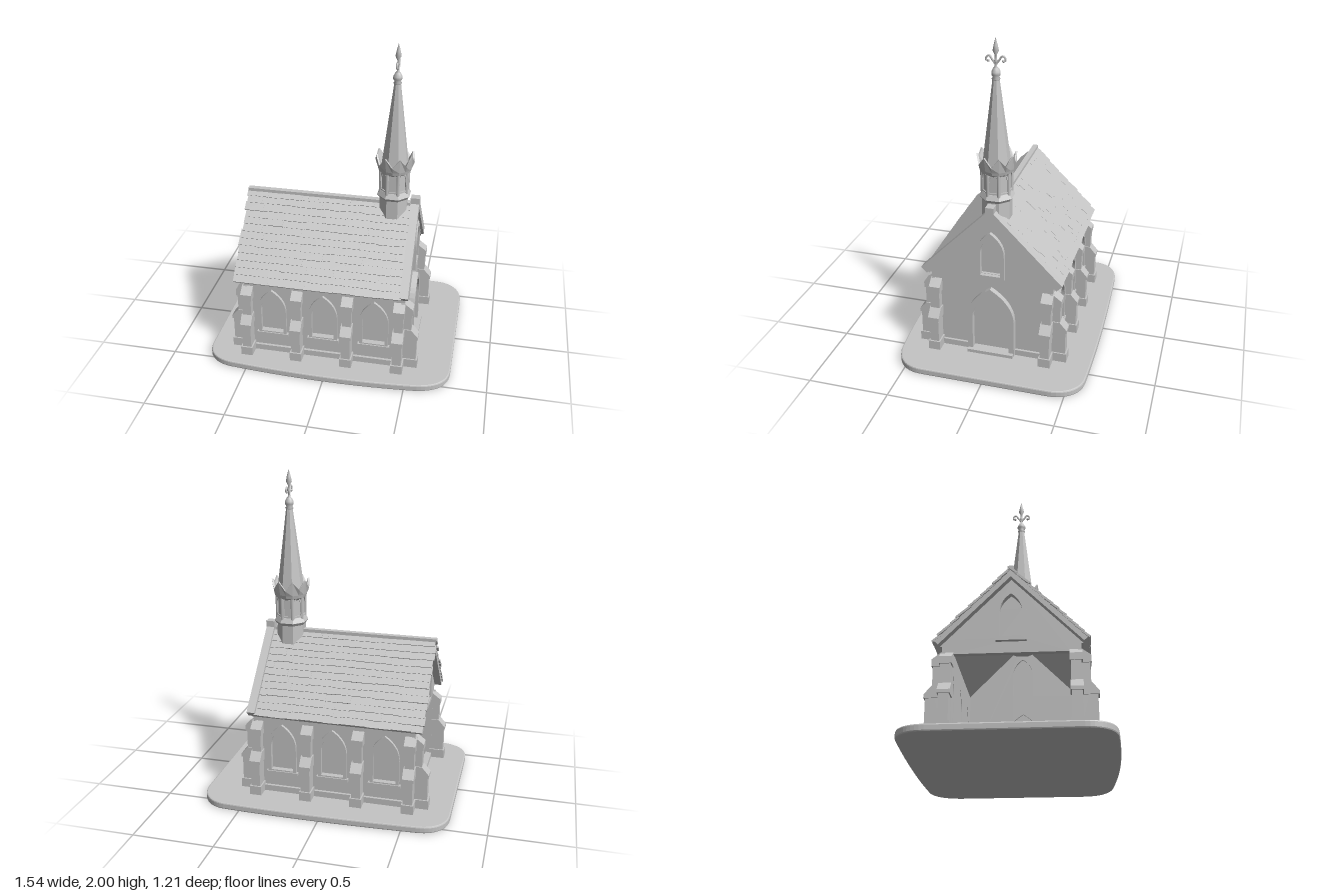
import * as THREE from 'three';

const stone = new THREE.MeshStandardMaterial({ color: 0xc4c4c4 });
stone.name = 'stone grey';

const X0 = -0.54, X1 = 0.47, HALF = 0.38; // wall limits

function seeded(seed) {
  return () => (seed = (seed * 16807) % 2147483647) / 2147483647;
}

function add(parent, name, geo, x = 0, y = 0, z = 0) {
  const m = new THREE.Mesh(geo, stone);
  m.name = name;
  m.position.set(x, y, z);
  parent.add(m);
  return m;
}

function flat(geo) {
  const g = geo.index ? geo.toNonIndexed() : geo;
  g.computeVertexNormals();
  return g;
}

const box = (w, h, d) => new THREE.BoxGeometry(w, h, d);
const extrude = (shape, depth) =>
  new THREE.ExtrudeGeometry(shape, { depth, bevelEnabled: false, curveSegments: 8 });
const polygon = pts => new THREE.Shape(pts.map(p => new THREE.Vector2(p[0], p[1])));

// Pointed arch outline: half width w, from y0 up to spring and apex
function arch(cx, w, y0, spring, apex) {
  const s = new THREE.Shape();
  const k = spring + 0.6 * (apex - spring);
  s.moveTo(cx - w, y0);
  s.lineTo(cx + w, y0);
  s.lineTo(cx + w, spring);
  s.quadraticCurveTo(cx + w * 0.95, k, cx, apex);
  s.quadraticCurveTo(cx - w * 0.95, k, cx - w, spring);
  s.closePath();
  return s;
}

// Raised arched moulding
function archFrame(w, y0, spring, apex, t, depth, open = false) {
  const s = arch(0, w, y0, spring, apex);
  s.holes.push(arch(0, w - t, open ? y0 + 0.012 : y0 + t, spring, apex - t * 1.3));
  return extrude(s, depth);
}

// Stepped buttress, facing +x before turning
function buttress(parent, x, z, turn) {
  const g = new THREE.Group();
  g.name = 'buttress';
  const upper = extrude(polygon([[-0.02, 0.04], [0.08, 0.04], [0.08, 0.25], [0.045, 0.31],
    [0.045, 0.47], [0, 0.5], [-0.02, 0.5]]), 0.056);
  add(g, 'buttressShaft', upper, 0, 0, -0.028);
  add(g, 'buttressFoot', box(0.1, 0.06, 0.074), 0.04, 0.07, 0);
  const cap = extrude(polygon([[-0.02, 0.43], [0.052, 0.43], [0.052, 0.47], [0, 0.51], [-0.02, 0.51]]), 0.07);
  add(g, 'buttressCap', cap, 0, 0, -0.035);
  const ledge = extrude(polygon([[0, 0.25], [0.088, 0.25], [0.088, 0.27], [0.045, 0.32], [0, 0.32]]), 0.07);
  add(g, 'buttressLedge', ledge, 0, 0, -0.035);
  g.position.set(x, 0, z);
  g.rotation.y = turn;
  parent.add(g);
}

function buildWalls(parent) {
  const windows = [-0.36, -0.035, 0.285];
  for (const s of [1, -1]) {
    // Long wall with three arched niches
    const wall = polygon([[X0, 0.04], [X1, 0.04], [X1, 0.585], [X0, 0.585]]);
    for (const x of windows) wall.holes.push(arch(x, 0.075, 0.19, 0.36, 0.475));
    add(parent, 'sideWall', extrude(wall, 0.035), 0, 0, s > 0 ? HALF - 0.035 : -HALF);
    add(parent, 'cornice', box(X1 - X0, 0.03, 0.03), (X0 + X1) / 2, 0.56, s * 0.385);
    add(parent, 'sidePlinth', box(X1 - X0, 0.04, 0.05), (X0 + X1) / 2, 0.06, s * 0.372);
    for (const x of windows) {
      const g = new THREE.Group();
      g.name = 'sideWindow';
      g.position.set(x, 0, s * HALF);
      g.rotation.y = s > 0 ? 0 : Math.PI;
      add(g, 'windowFrame', archFrame(0.09, 0.175, 0.36, 0.5, 0.02, 0.018));
      add(g, 'windowPane', extrude(arch(0, 0.08, 0.18, 0.36, 0.48), 0.008), 0, 0, -0.033);
      add(g, 'windowSill', box(0.2, 0.018, 0.03), 0, 0.178, 0.01);
      parent.add(g);
    }
    for (const x of [-0.515, -0.197, 0.12, 0.44]) buttress(parent, x, s * HALF, -s * Math.PI / 2);
    buttress(parent, X1, s * 0.35, 0);
    buttress(parent, X0, s * 0.35, Math.PI);
  }

  // Gable walls: a closed front with a door, a back open at the bottom
  for (const s of [1, -1]) {
    const g = new THREE.Group();
    g.name = s > 0 ? 'doorGable' : 'openGable';
    g.position.x = s > 0 ? X1 : X0;
    g.rotation.y = s * Math.PI / 2;
    const wall = polygon([[-HALF, 0.04], [HALF, 0.04], [HALF, 0.585], [0, 0.965], [-HALF, 0.585]]);
    wall.holes.push(arch(0, 0.065, 0.59, 0.74, 0.845));
    wall.holes.push(s > 0 ? arch(0, 0.12, 0.055, 0.29, 0.465)
      : polygon([[-0.32, 0.045], [0.32, 0.045], [0.32, 0.5], [-0.32, 0.5]]));
    add(g, 'gableWall', extrude(wall, 0.035), 0, 0, -0.035);
    add(g, 'gableWindowFrame', archFrame(0.085, 0.565, 0.74, 0.875, 0.023, 0.025));
    add(g, 'gableWindowPane', extrude(arch(0, 0.07, 0.58, 0.74, 0.85), 0.008), 0, 0, -0.025);
    if (s > 0) {
      add(g, 'doorFrame', archFrame(0.148, 0.042, 0.29, 0.5, 0.033, 0.035, true));
      add(g, 'door', extrude(arch(0, 0.125, 0.045, 0.29, 0.47), 0.008), 0, 0, -0.025);
      add(g, 'doorStep', box(0.29, 0.025, 0.062), 0, 0.05, 0.028);
      for (const d of [1, -1]) add(g, 'gablePlinth', box(0.22, 0.04, 0.03), d * 0.26, 0.06, 0);
    } else {
      add(g, 'threshold', box(0.7, 0.035, 0.04), 0, 0.055, -0.015);
    }
    parent.add(g);
  }
}

function buildRoof(parent) {
  const rand = seeded(77);
  const angle = Math.atan2(0.43, 0.425), len = 0.605, rows = 13, step = len / rows;
  for (const s of [1, -1]) {
    const slope = new THREE.Group();
    slope.name = 'roofSlope';
    slope.position.y = 1.0;
    slope.rotation.x = s * angle;
    add(slope, 'roofSlab', box(1.06, 0.03, len), -0.055, -0.026, s * len / 2);
    // Overlapping rows of uneven shingles
    for (let r = 0; r < rows; r++) {
      let x = -0.597 + rand() * 0.012;
      while (x < 0.44) {
        const w = Math.min(0.06 + rand() * 0.12, 0.45 - x);
        const m = add(slope, 'shingle', box(w + 0.002, 0.012, step + 0.012),
          x + w / 2, -0.008 + rand() * 0.004, s * ((r + 0.5) * step + rand() * 0.006));
        m.rotation.x = -s * 0.1;
        x += w;
      }
    }
    add(slope, 'gableCoping', box(0.05, 0.05, len), 0.467, -0.006, s * len / 2);
    parent.add(slope);
  }
  add(parent, 'ridgeCap', box(1.03, 0.02, 0.035), -0.08, 0.993, 0);
  add(parent, 'copingBlock', box(0.055, 0.06, 0.05), 0.467, 1.01, 0);
}

function buildSteeple(parent) {
  const g = new THREE.Group();
  g.name = 'steeple';
  g.position.x = 0.333;
  const drum = (name, rTop, rBottom, y0, y1, sides = 8) => {
    const m = add(g, name, flat(new THREE.CylinderGeometry(rTop, rBottom, y1 - y0, sides)), 0, (y0 + y1) / 2, 0);
    m.rotation.y = Math.PI / 8;
  };
  drum('steepleBase', 0.09, 0.092, 0.86, 1.05);
  drum('collarLower', 0.107, 0.092, 1.035, 1.055);
  drum('collarUpper', 0.09, 0.107, 1.055, 1.085);
  drum('belfry', 0.086, 0.086, 1.08, 1.24);
  drum('spire', 0.02, 0.086, 1.24, 1.765);

  // Corner ribs and arched panels of the belfry
  for (let i = 0; i < 8; i++) {
    const a = i * Math.PI / 4, c = a + Math.PI / 8;
    add(g, 'belfryRib', new THREE.CylinderGeometry(0.013, 0.011, 0.17, 6),
      Math.sin(c) * 0.086, 1.16, Math.cos(c) * 0.086);
    const arc = add(g, 'belfryArch', archFrame(0.03, 1.09, 1.17, 1.225, 0.009, 0.008),
      Math.sin(a) * 0.078, 0, Math.cos(a) * 0.078);
    arc.rotation.y = a;
  }

  // Crown whose rim rises to a point at each corner
  const rim = [[0.08, 1.2], [0.098, 1.215], [0.104, 1.235], [0.119, 1.285], [0.108, 1.285], [0.08, 1.245]];
  const crown = new THREE.LatheGeometry(rim.map(p => new THREE.Vector2(p[0], p[1])), 16);
  const pos = crown.attributes.position;
  for (let i = 0; i < pos.count; i++) {
    const k = Math.round(Math.atan2(pos.getX(i), pos.getZ(i)) / (Math.PI / 8));
    if (pos.getY(i) > 1.28) pos.setY(i, k % 2 ? 1.325 : 1.27);
  }
  add(g, 'crown', flat(crown));

  // Finial: knob, rod, spearhead and curled arms
  const knob = [[0.018, 1.755], [0.026, 1.765], [0.018, 1.775], [0.027, 1.79], [0.027, 1.805], [0.016, 1.825],
    [0.007, 1.835], [0.007, 1.86], [0.013, 1.866], [0.007, 1.874], [0.006, 1.9], [0.018, 1.925], [0.012, 1.955], [0.0005, 2.0]];
  add(g, 'finial', new THREE.LatheGeometry(knob.map(p => new THREE.Vector2(p[0], p[1])), 10));
  for (const s of [1, -1]) {
    const pts = [[0, 1.845], [0.02, 1.872], [0.038, 1.895], [0.054, 1.885], [0.054, 1.866], [0.043, 1.866]];
    const curve = new THREE.CatmullRomCurve3(pts.map(p => new THREE.Vector3(0, p[1], s * p[0])));
    add(g, 'finialArm', new THREE.TubeGeometry(curve, 16, 0.006, 6));
    add(g, 'finialArmTip', new THREE.SphereGeometry(0.008, 8, 6), 0, 1.866, s * 0.043);
  }
  parent.add(g);
}

// Slightly bowed ground slab with rounded corners
function buildBase(parent) {
  const s = new THREE.Shape();
  s.moveTo(-0.59, 0.57);
  s.quadraticCurveTo(0.05, 0.625, 0.58, 0.57);
  s.bezierCurveTo(0.69, 0.55, 0.765, 0.5, 0.765, 0.38);
  s.lineTo(0.765, -0.4);
  s.bezierCurveTo(0.765, -0.52, 0.69, -0.59, 0.6, -0.595);
  s.quadraticCurveTo(0.1, -0.615, -0.59, -0.575);
  s.bezierCurveTo(-0.7, -0.57, -0.765, -0.5, -0.765, -0.4);
  s.lineTo(-0.765, 0.4);
  s.bezierCurveTo(-0.765, 0.5, -0.7, 0.56, -0.59, 0.57);
  const geo = new THREE.ExtrudeGeometry(s, {
    depth: 0.026, bevelThickness: 0.008, bevelSize: 0.008, bevelOffset: -0.004, bevelSegments: 2, curveSegments: 12,
  });
  geo.rotateX(Math.PI / 2);
  add(parent, 'base', geo, 0, 0.034, 0);
}

export function createModel() {
  const model = new THREE.Group();
  model.name = 'chapel';
  buildBase(model);
  const building = new THREE.Group();
  building.name = 'building';
  building.position.z = 0.017;
  buildWalls(building);
  buildRoof(building);
  buildSteeple(building);
  model.add(building);
  return model;
}
